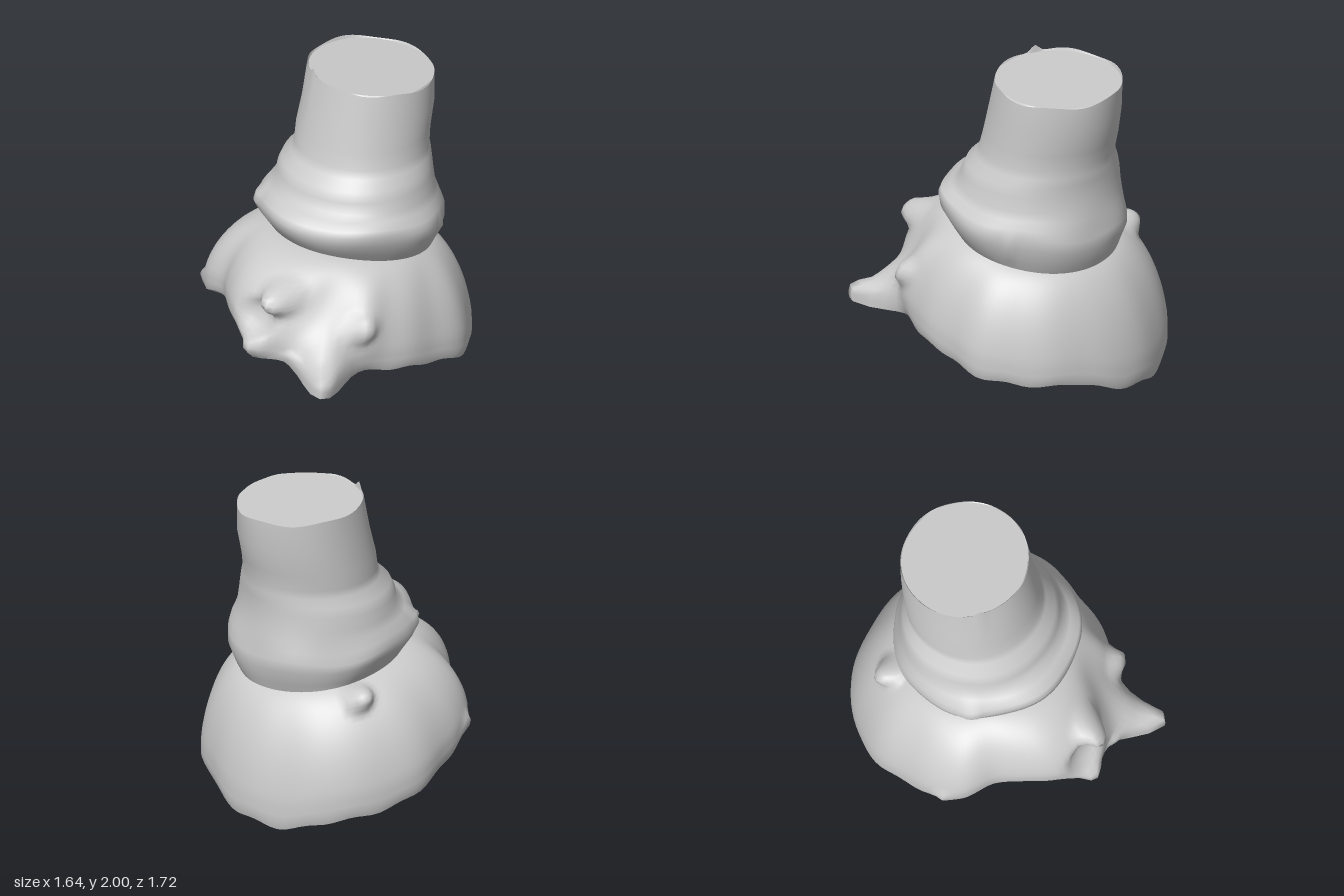
import * as THREE from 'three';

const N = 108;
const mat = new THREE.MeshStandardMaterial({ color: 0xcccccc });

// Rim radius and height every 15 degrees, from the front (+z) round towards +x
const RIM_R = [.77, .83, .80, .80, .75, .75, .77, .78, .85, .85, .86, .85, .87, .88, .87, .87, .86, .84, .83, .79, .79, .77, .67, .70];
const RIM_Y = [.56, .43, .40, .31, .33, .32, .29, .25, .20, .17, .15, .14, .06, .03, .01, .07, .11, .15, .22, .30, .38, .46, .52, .56];

// Collar and stem rings, bottom to top: y, front tilt, centre x, centre z, radius x, radius z
const COLLAR = [
  [.89, .095, .02, -.14, .50, .50],
  [.935, .09, .03, -.135, .525, .525],
  [1.02, .07, .035, -.13, .57, .565],
  [1.08, .06, .035, -.125, .575, .565],
  [1.13, .05, .035, -.125, .56, .55],
  [1.18, .035, .025, -.15, .525, .515],
  [1.23, .015, .02, -.17, .505, .475],
  [1.31, .0, .015, -.175, .49, .465],
  [1.37, .0, .015, -.19, .47, .45],
  [1.43, .0, .015, -.225, .43, .42],
  [1.48, .0, .01, -.235, .42, .405],
  [1.58, .0, .0, -.255, .415, .405],
  [1.75, .0, .0, -.295, .405, .403],
  [1.94, .025, -.005, -.32, .395, .38],
];

// Local lumps and dents: centre, reach, push
const LUMPS = [
  [[.30, .80, .62], .10, [.02, .0, .13]],     // knob on the front
  [[.20, .65, .75], .11, [0, 0, -.08]],       // notch under it
  [[.24, .47, .82], .07, [0, .01, .05]],      // stones along the root
  [[.45, .42, .66], .06, [0, .04, .03]],
  [[.76, .38, .70], .09, [.04, .03, .02]],    // root tip
  [[-.55, .81, -.29], .085, [-.09, .04, 0]],  // knob on the shoulder
  [[.68, .63, .32], .085, [.06, .01, .01]],   // knob on the hip
  [[-.60, .48, .44], .06, [-.03, .02, .03]],  // stone on the rim
  [[.53, 1.02, -.48], .05, [.03, 0, -.02]],   // chip on the collar
  [[-.33, 1.12, .29], .07, [-.01, 0, .02]],
].map(([c, reach, push]) => ({ c: new THREE.Vector3(...c), reach, push: new THREE.Vector3(...push) }));

// Smooth closed interpolation through a table
function sample(table, a) {
  const n = table.length, f = (a / (Math.PI * 2)) * n, i = Math.floor(f), t = f - i;
  const p = k => table[(i + k + n) % n];
  return p(0) + .5 * t * (p(1) - p(-1) + t * (2 * p(-1) - 5 * p(0) + 4 * p(1) - p(2) + t * (3 * (p(0) - p(1)) + p(2) - p(-1))));
}
const bump = (a, centre, width) => {
  const d = Math.atan2(Math.sin(a - centre), Math.cos(a - centre)) / width;
  return Math.exp(-d * d);
};
const ring = fn => Array.from({ length: N }, (_, i) => fn((i / N) * Math.PI * 2, i));

function collarRing([y, tilt, cx, cz, rx, rz], k) {
  return ring(a => {
    const ridge = Math.max(0, 1 - Math.abs(k - 3) / 3);
    const w = 1 + .012 * ridge * Math.sin(a * 7 + 1) + .006 * Math.sin(a * 5 + k * .4);
    const dy = ridge * (.015 * Math.sin(a * 5 + 2) + .03 * Math.sin(a));
    return new THREE.Vector3(cx + Math.sin(a) * rx * w, y + tilt * Math.cos(a) + dy, cz + Math.cos(a) * rz * w);
  });
}

// Skirt ring: t = 0 at the crease under the collar, 1 at the rim
function skirtRing(t, crease) {
  return ring((a, i) => {
    const swell = Math.sin(t * Math.PI);
    // The root is thickest just above the rim and tucks in below
    const flare = t ** 4 * (1 - .3 * THREE.MathUtils.smoothstep(t, .88, 1));
    const r = sample(RIM_R, a)
      + .38 * bump(a, .84, .15) * flare
      - .08 * bump(a, .80, .18) * swell         // valley above the root
      + .06 * bump(a, 1.16, .14) * swell        // hip ridge
      + .02 * bump(a, .3, .2) * swell;          // front ridge
    const c = crease[i], arc = t * Math.PI / 2;
    const inset = t === 1 ? .985 : 1;
    const f = Math.min(1, Math.sin(arc) * 1.03);
    // The front shoulder is squarer than the back
    const slope = .25 - .12 * Math.cos(a);
    const g = (1 - slope) * (1 - Math.cos(arc)) + slope * t;
    return new THREE.Vector3(
      c.x + (Math.sin(a) * r * inset - c.x) * f,
      c.y + (sample(RIM_Y, a) - c.y) * g + .008 * Math.sin(a * 17) * t ** 6,
      c.z + (Math.cos(a) * r * inset - c.z) * f);
  });
}

function applyLumps(rings) {
  for (const p of rings.flat()) {
    const start = p.clone();
    for (const { c, reach, push } of LUMPS) {
      p.addScaledVector(push, Math.exp(-((start.distanceTo(c) / reach) ** 4)));
    }
  }
}

// Skin a list of closed rings
function loft(name, rings) {
  const pos = [], idx = [];
  rings.forEach(r => r.forEach(p => pos.push(p.x, p.y, p.z)));
  for (let k = 0; k < rings.length - 1; k++) {
    for (let i = 0; i < N; i++) {
      const a = k * N + i, b = k * N + (i + 1) % N;
      idx.push(a, b, b + N, a, b + N, a + N);
    }
  }
  const g = new THREE.BufferGeometry();
  g.setAttribute('position', new THREE.Float32BufferAttribute(pos, 3));
  g.setIndex(idx);
  g.computeVertexNormals();
  const m = new THREE.Mesh(g, mat);
  m.name = name;
  return m;
}

export function createModel() {
  const group = new THREE.Group();
  group.name = 'stump';

  const collar = COLLAR.map(collarRing);
  const top = collar[collar.length - 1];
  // Chipped top edge with one splinter at the front
  top.forEach((p, i) => {
    const a = (i / N) * Math.PI * 2;
    p.y += .007 * Math.sin(a * 6) - .01 * Math.sin(a) + .045 * bump(a, 6.0, .09);
  });
  const skirt = [];
  for (let k = 24; k >= 1; k--) skirt.push(skirtRing(k / 24, collar[0]));
  applyLumps(skirt);
  applyLumps(collar.slice(1, -1));

  group.add(loft('skirt', [...skirt, collar[0]]));
  group.add(loft('stem', collar));

  // Flat cut on top, just inside the chipped edge
  const topCentre = new THREE.Vector3(0, 1.935, -.32);
  const cut = [.985, .5, 0].map(s => top.map(p => {
    const q = topCentre.clone().lerp(p, s);
    q.y = topCentre.y + .065 * (q.z - topCentre.z);
    return q;
  }));
  group.add(loft('topEdge', [top, cut[0]]));
  group.add(loft('topCut', cut));

  // Sloping underside, almost flat
  const mid = new THREE.Vector3(0, .28, 0);
  const under = [0, .25, .5, .7, .85, 1].map(s => skirt[0].map(p => {
    const q = mid.clone().lerp(p, s);
    const plane = mid.y + .27 * q.z;
    q.y = THREE.MathUtils.lerp(plane, q.y, s * s);
    return q;
  }));
  group.add(loft('underside', under));
  return group;
}
